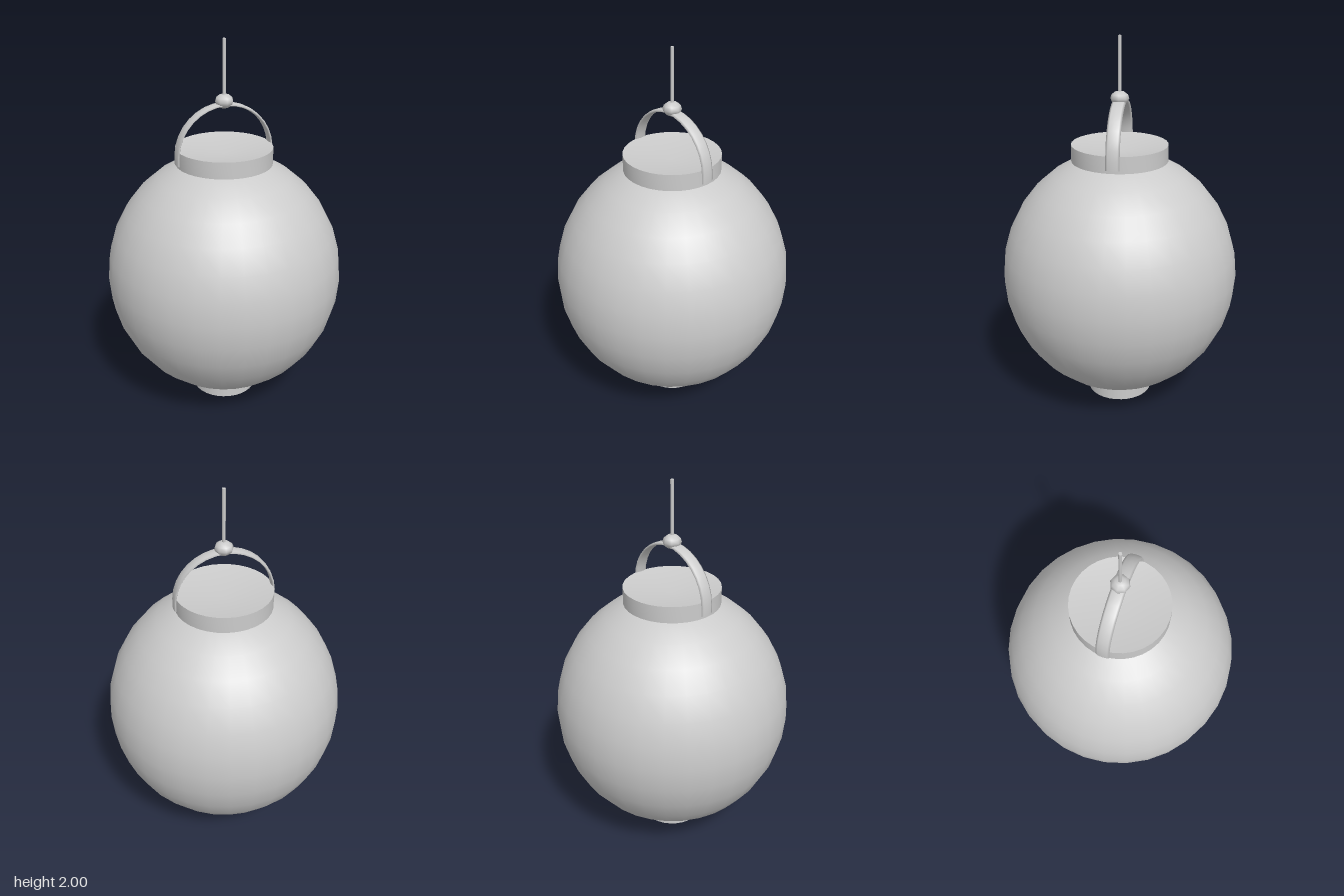
import * as THREE from 'three';
import { toCreasedNormals } from 'three/addons/utils/BufferGeometryUtils.js';

const grey = new THREE.MeshStandardMaterial({ color: 0xcccccc });

function add(group, name, geometry, x = 0, y = 0, z = 0) {
  const mesh = new THREE.Mesh(geometry, grey);
  mesh.name = name;
  mesh.position.set(x, y, z);
  group.add(mesh);
  return mesh;
}

export function createModel() {
  const model = new THREE.Group();
  model.name = 'hangingLantern';

  // Round globe, slightly taller than wide
  add(model, 'globe', new THREE.SphereGeometry(1, 32, 16).scale(0.635, 0.67, 0.635), 0, 0.733);

  // Short foot ring closed below
  add(model, 'base', new THREE.CylinderGeometry(0.178, 0.178, 0.09, 32), 0, 0.045);

  // Cap with a shallow dished top
  const capProfile = [[0, 1.358], [0.255, 1.358], [0.255, 1.446], [0, 1.406]]
    .map(([r, y]) => new THREE.Vector2(r, y));
  add(model, 'cap', toCreasedNormals(new THREE.LatheGeometry(capProfile, 32), 0.6));

  // Carrying handle: a flat oval band with short straight legs
  const radius = 0.258, centreY = 1.412, footY = 1.375, thick = 0.008, stretch = 4.5;
  const points = [new THREE.Vector3(radius, footY, 0)];
  for (let i = 0; i <= 12; i++) {
    const a = (i / 12) * Math.PI;
    points.push(new THREE.Vector3(radius * Math.cos(a), centreY + radius * Math.sin(a), 0));
  }
  points.push(new THREE.Vector3(-radius, footY, 0));
  const handle = new THREE.Group();
  handle.name = 'handle';
  const path = new THREE.CatmullRomCurve3(points);
  add(handle, 'handleBand', new THREE.TubeGeometry(path, 18, thick, 8).scale(1, 1, stretch));
  for (const side of [-1, 1]) {
    const end = new THREE.CircleGeometry(thick, 8).rotateX(Math.PI / 2).scale(1, 1, stretch);
    add(handle, 'handleEnd', end, side * radius, footY);
  }
  model.add(handle);

  // Knob and hanging rod
  add(model, 'knob', new THREE.SphereGeometry(1, 8, 6).scale(0.049, 0.037, 0.049), 0, 1.686);
  add(model, 'rod', new THREE.CylinderGeometry(0.009, 0.009, 0.3, 8), 0, 1.85);

  return model;
}
